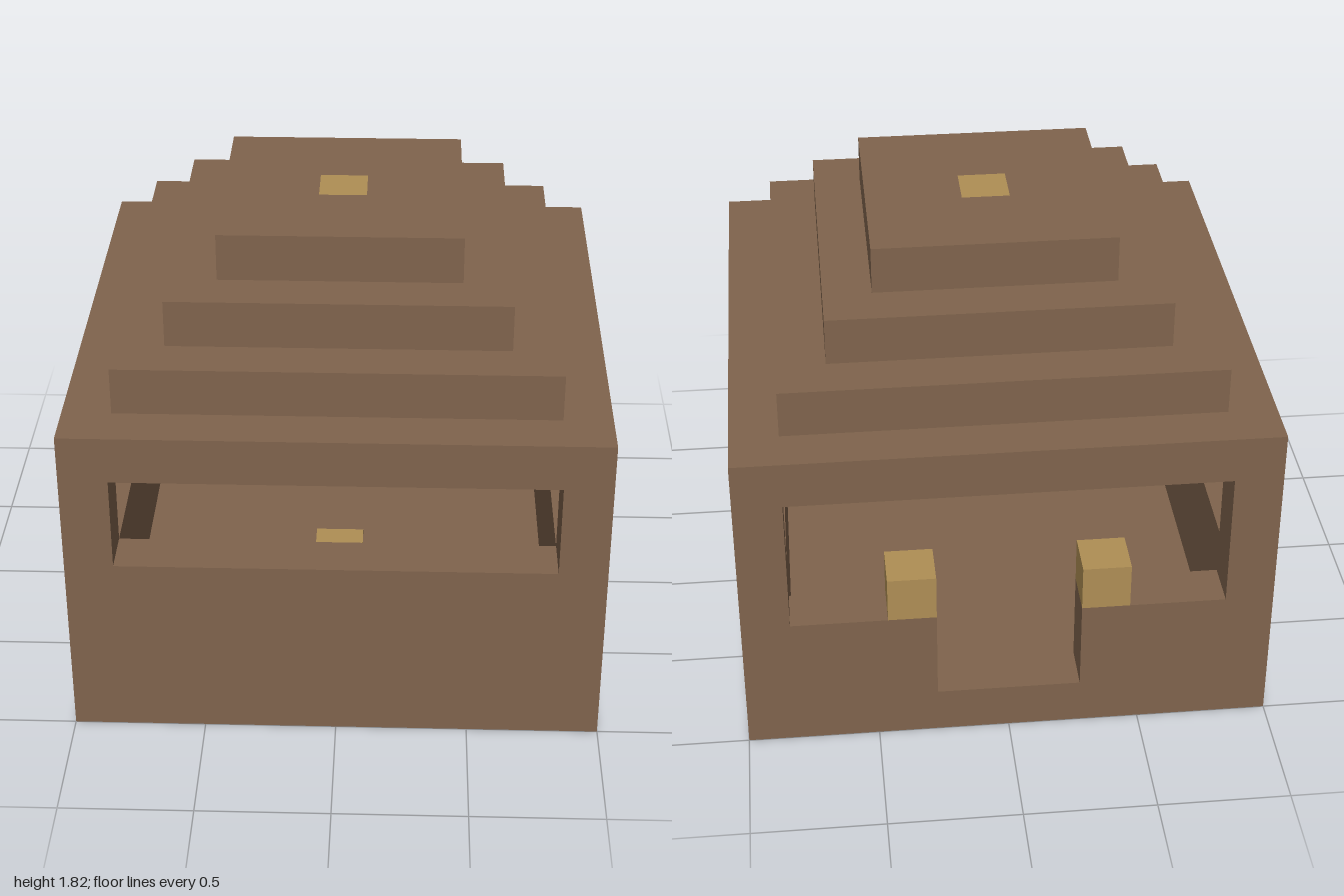
import * as THREE from 'three';

// One block of the 11 x 10 x 11 block layout
const U = 2 / 11;

export function createModel() {
  const root = new THREE.Group();
  root.name = 'steppedPavilion';

  const brown = new THREE.MeshStandardMaterial({ color: 0x80644d });
  brown.name = 'brown';
  const gold = new THREE.MeshStandardMaterial({ color: 0xb08f55 });
  gold.name = 'gold';

  const add = (name, geometry, material) => {
    const mesh = new THREE.Mesh(geometry, material);
    mesh.name = name;
    root.add(mesh);
    return mesh;
  };

  // Box in block units: centre x and z, bottom y
  const block = (name, material, x, y, z, w = 1, h = 1, d = 1) =>
    add(name, new THREE.BoxGeometry(w * U, h * U, d * U), material)
      .position.set(x * U, (y + h / 2) * U, z * U);

  // Upright extrusion of a plan outline, whose +y side is the back
  const slab = (name, shape, y, h) => {
    const geometry = new THREE.ExtrudeGeometry(shape, { depth: h * U, bevelEnabled: false });
    geometry.rotateX(-Math.PI / 2);
    add(name, geometry, brown).position.y = y * U;
  };

  const outline = (pairs) =>
    new THREE.Shape(pairs.map(([x, y]) => new THREE.Vector2(x * U, y * U)));
  const square = (r) => [[-r, -r], [r, -r], [r, r], [-r, r]];

  const ring = (name, outer, inner, y) => {
    const shape = outline(square(outer));
    shape.holes.push(outline(square(inner).reverse()));
    slab(name, shape, y, 1);
  };

  // Wall around three sides, with a gap in the back
  const openWall = (name, gap, y, h) => {
    const half = [[0, -5.5], [5.5, -5.5], [5.5, 5.5], [gap, 5.5], [gap, 4.5]];
    if (gap < 4.5) half.push([4.5, 4.5]);
    half.push([4.5, -4.5]);
    const mirrored = half.slice(1).reverse().map(([x, y2]) => [-x, y2]);
    slab(name, outline([...half.slice(1), ...mirrored]), y, h);
  };

  // Floor and walls: doorway at the back, lower sill beside it
  block('floor', brown, 0, 0, 0, 11, 1, 11);
  openWall('lowerWall', 1.5, 1, 2);
  openWall('upperWall', 4.5, 3, 1);

  // Corner posts between the wide windows
  for (const x of [-5, 5])
    for (const z of [-5, 5]) block('cornerPost', brown, x, 4, z, 1, 2, 1);

  // Hollow stepped roof with a gold block in its crown
  ring('roofBeam', 5.5, 4.5, 6);
  ring('roofTier', 4.5, 3.5, 7);
  ring('roofTier', 3.5, 2.5, 8);
  ring('roofCrown', 2.5, 0.5, 9);
  block('roofLight', gold, 0, 9, 0);

  // Gold blocks on the sill either side of the doorway
  for (const x of [-2, 2]) block('doorLamp', gold, x, 3, -5);

  // Gold altar inside, facing the doorway
  for (const x of [-1, 1]) block('altarSide', gold, x, 1, 3);
  block('altarCentre', gold, 0, 1, 3, 1, 2, 1);

  return root;
}
